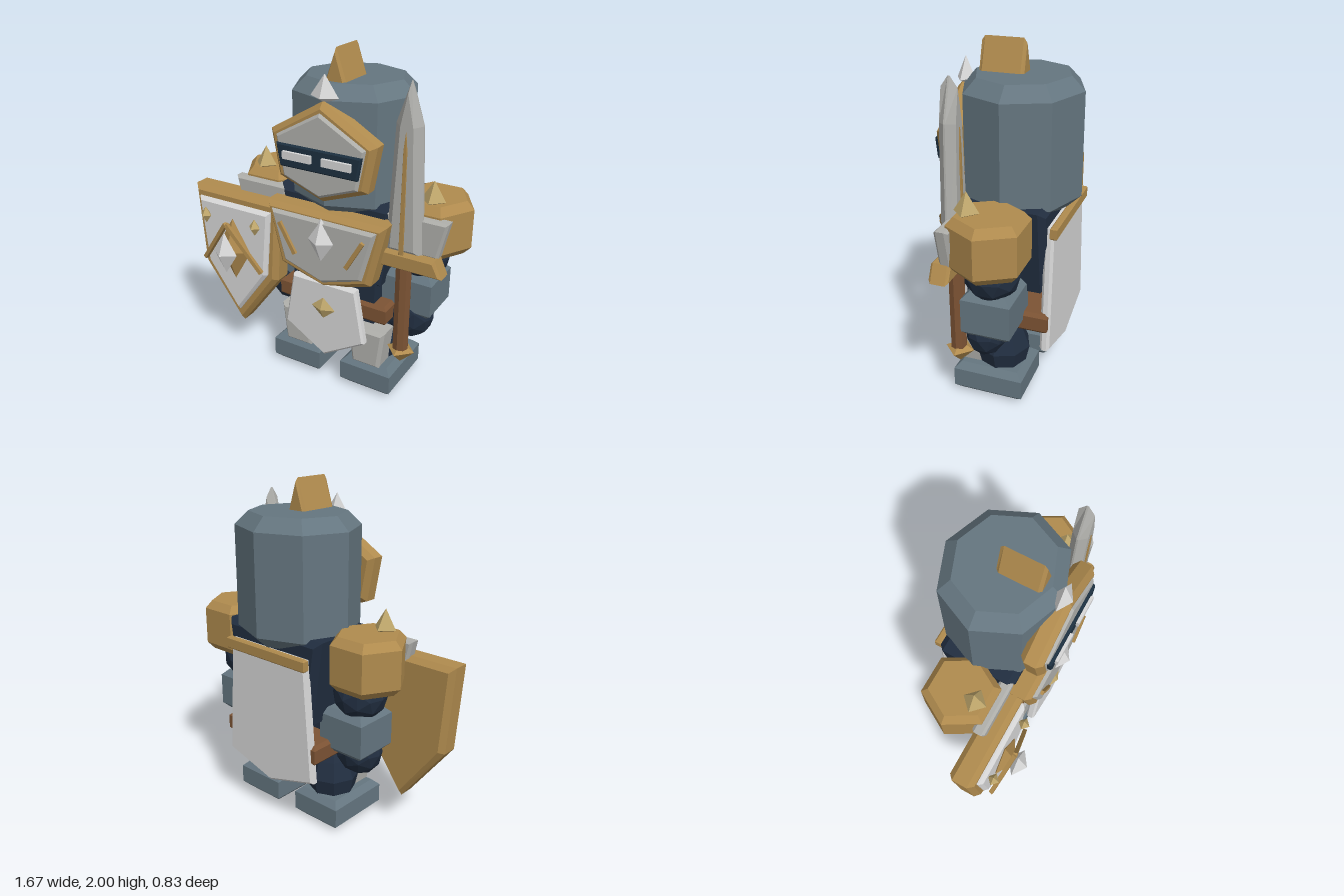
import * as THREE from 'three';

const CX = 0.108; // body centre line

const mat = (name, color) => {
  const m = new THREE.MeshStandardMaterial({ color });
  m.name = name;
  return m;
};

export function createModel() {
  const steel = mat('steel blue', 0x657680);
  const gold = mat('gold', 0xb08b4e);
  const pale = mat('pale gold', 0xbfa76c);
  const silver = mat('silver', 0xb0b0ac);
  const white = mat('white', 0xd8d8d8);
  const navy = mat('navy', 0x212e40);
  const slotBlue = mat('visor blue', 0x1d3040);
  const brown = mat('leather brown', 0x7c5334);

  const root = new THREE.Group();
  root.name = 'knight';

  // Faceted mesh with flat normals
  const add = (name, geo, material, x = 0, y = 0, z = 0, parent = root) => {
    const g = geo.index ? geo.toNonIndexed() : geo;
    g.computeVertexNormals();
    const m = new THREE.Mesh(g, material);
    m.name = name;
    m.position.set(x, y, z);
    parent.add(m);
    return m;
  };

  // Outline in xy, extruded from z0 to z1 with chamfered rims
  const plate = (pts, z0, z1, b = 0.015) => {
    const shape = new THREE.Shape(pts.map(p => new THREE.Vector2(p[0], p[1])));
    const t = Math.min(b, (z1 - z0) * 0.45);
    const g = new THREE.ExtrudeGeometry(shape, {
      depth: z1 - z0 - 2 * t, bevelEnabled: true, bevelSegments: 1,
      bevelThickness: t, bevelSize: b, bevelOffset: -b,
    });
    return g.translate(0, 0, z0 + t);
  };

  // Symmetric outline from its right half, listed bottom to top
  const mirrored = half => [
    ...half,
    ...half.slice().reverse().filter(p => p[0] > 0).map(p => [-p[0], p[1]]),
  ];

  // Faceted turned solid from [radius, y] pairs listed bottom to top
  const turned = (profile, sides) =>
    new THREE.LatheGeometry(profile.map(p => new THREE.Vector2(p[0], p[1])), sides);

  const gem = (rx, ry, rz) => turned([[0, -1], [1, 0], [0, 1]], 4).scale(rx, ry, rz);

  const bevelBox = (w, h, d, b) => {
    const x = w / 2, z = d / 2;
    return plate([[-x, -z], [x, -z], [x, z], [-x, z]], -h / 2, h / 2, b).rotateX(-Math.PI / 2);
  };

  // Thin square bar between two points
  const bar = (name, a, b, w, material) => {
    const p = new THREE.Vector3(...a), q = new THREE.Vector3(...b);
    const m = add(name, new THREE.BoxGeometry(w, w, p.distanceTo(q)), material);
    m.position.copy(p).add(q).multiplyScalar(0.5);
    m.lookAt(q);
    return m;
  };

  // Torso, hips and belt
  add('torso', plate(mirrored([[0.29, 0.69], [0.36, 1.19]]), -0.315, 0.16, 0.035), navy, CX);
  add('hips', new THREE.BoxGeometry(0.54, 0.27, 0.3), navy, CX, 0.59, 0.01);
  add('belt', bevelBox(0.71, 0.12, 0.52, 0.02), brown, CX, 0.53, -0.08);

  // Helmet with chamfered rims and crest
  add('helmet', turned([[0, 1.1], [0.285, 1.1], [0.365, 1.17], [0.365, 1.75], [0.285, 1.825], [0, 1.825]], 8)
    .scale(1, 1, 0.92), steel, CX, 0, -0.08);
  add('crest', plate([[-0.09, 1.74], [0.09, 1.74], [0, 2]], -0.1, 0.15, 0.018), gold, CX);
  add('browSpike', turned([[0, -0.03], [0.085, 0], [0, 0.12]], 4).scale(1, 1, 0.6), white, CX, 1.768, 0.245);

  // Visor
  add('visorFrame', plate(mirrored([[0, 1.2], [0.273, 1.3], [0.322, 1.56], [0, 1.75]]), 0.17, 0.295, 0.03), gold, CX);
  add('visorPlate', plate(mirrored([[0, 1.23], [0.228, 1.315], [0.272, 1.542], [0, 1.695]]), 0.27, 0.31), silver, CX);
  add('visorSlot', plate(mirrored([[0.235, 1.378], [0.258, 1.505]]), 0.29, 0.325, 0.008), slotBlue, CX);
  for (const s of [-1, 1])
    add('eye', new THREE.BoxGeometry(0.175, 0.043, 0.03), white, CX + s * 0.12, 1.449, 0.327);

  // Breastplate
  add('breastplateFrame', plate(mirrored([[0, 0.66], [0.292, 0.75], [0.38, 1.125]]), 0.12, 0.275, 0.03), gold, CX);
  add('breastplate', plate(mirrored([[0, 0.705], [0.25, 0.785], [0.334, 1.092]]), 0.25, 0.295, 0.02), silver, CX);
  add('chestGem', gem(0.092, 0.138, 0.06), white, CX, 0.97, 0.288);
  for (const s of [-1, 1])
    bar('chestBar', [CX + s * 0.265, 1.03, 0.3], [CX + s * 0.165, 0.855, 0.3], 0.024, gold);

  // Front tabard and back cape
  add('tabard', plate(mirrored([[0, 0.21], [0.265, 0.37], [0.206, 0.7]]), 0.215, 0.27, 0.012), white, CX);
  add('tabardGem', gem(0.105, 0.092, 0.045), pale, CX, 0.535, 0.258);
  add('cape', plate(mirrored([[0, 0.26], [0.345, 0.36], [0.29, 1.09]]), -0.35, -0.295), white, CX);
  add('capeBar', bevelBox(0.61, 0.07, 0.04, 0.008), gold, CX, 1.065, -0.352);

  // Limbs, mirrored about the centre line
  for (const s of [-1, 1]) {
    const at = d => CX + s * d;
    add('leg', turned([[0, 0.12], [0.13, 0.15], [0.16, 0.28], [0.12, 0.39], [0.075, 0.48], [0, 0.5]], 8),
      navy, at(0.225), 0, -0.04);
    add('greave', plate(mirrored([[0.09, 0.17], [0.118, 0.415]]), 0.04, 0.19, 0.02), silver, at(0.232));
    add('boot', bevelBox(0.328, 0.185, 0.41, 0.036), steel, at(0.237), 0.0925, -0.005);

    add('upperArm', new THREE.IcosahedronGeometry(0.155, 1), navy, at(0.455), 0.87, -0.07);
    add('cuff', bevelBox(0.3, 0.265, 0.275, 0.036), steel, at(0.422), 0.643, -0.068);
    add('hand', new THREE.IcosahedronGeometry(0.155, 1).scale(1, 1, 0.75), navy, at(0.405), 0.49, -0.02);

    add('shoulderPad', turned([[0, 0.92], [0.178, 0.92], [0.22, 0.965], [0.22, 1.185], [0.178, 1.23], [0, 1.23]], 6)
      .rotateY(Math.PI / 2), gold, at(0.507), 0, -0.075);
    add('shoulderSpike', turned([[0, -0.03], [0.07, 0], [0, 0.11]], 4), pale, at(0.537), 1.24, 0.03);
    add('shoulderPlate', plate(mirrored([[0.13, 0.96], [0.18, 1.175]]), 0.08, 0.155), silver, at(0.497));
  }

  // Sword
  const sword = new THREE.Group();
  sword.name = 'sword';
  sword.position.set(0.545, 0, 0.145);
  root.add(sword);
  add('blade', plate(mirrored([[0.11, 0.95], [0.075, 1.67], [0, 1.89]]), -0.045, 0.045, 0.04), silver, 0, 0, 0, sword);
  for (const s of [-1, 1])
    add('fuller', plate(mirrored([[0.014, 0.96], [0.01, 1.54], [0, 1.64]]), -0.004, 0.004, 0.001),
      gold, 0, 0, s * 0.047, sword);
  add('crossguard', plate(mirrored([[0.235, 0.87], [0.19, 0.97]]), -0.055, 0.055), gold, 0, 0, 0, sword);
  add('grip', new THREE.CylinderGeometry(0.046, 0.046, 0.54, 8), brown, 0, 0.62, 0, sword);
  add('pommel', turned([[0, -0.085], [0.085, 0], [0, 0.045]], 4), gold, 0, 0.335, -0.005, sword);

  // Shield
  const shield = new THREE.Group();
  shield.name = 'shield';
  shield.position.x = -0.525;
  root.add(shield);
  add('shieldFrame', plate(mirrored([[0, 0.21], [0.275, 0.575], [0.312, 1.09]]), 0.08, 0.23, 0.03), gold, 0, 0, 0, shield);
  add('shieldFace', plate(mirrored([[0, 0.31], [0.22, 0.61], [0.26, 1.03]]), 0.21, 0.26, 0.02), white, 0, 0, 0, shield);
  add('shieldDiamond', gem(0.12, 0.2, 0.07), gold, 0, 0.745, 0.265, shield);
  add('shieldBoss', gem(0.085, 0.132, 0.06), white, 0, 0.755, 0.35, shield);
  for (const s of [-1, 1]) {
    add('shieldStud', gem(0.037, 0.052, 0.035), pale, s * 0.18, 0.94, 0.29, shield);
    shield.add(bar('chevron', [0, 0.935, 0.33], [s * 0.21, 0.645, 0.285], 0.024, gold));
  }

  return root;
}
